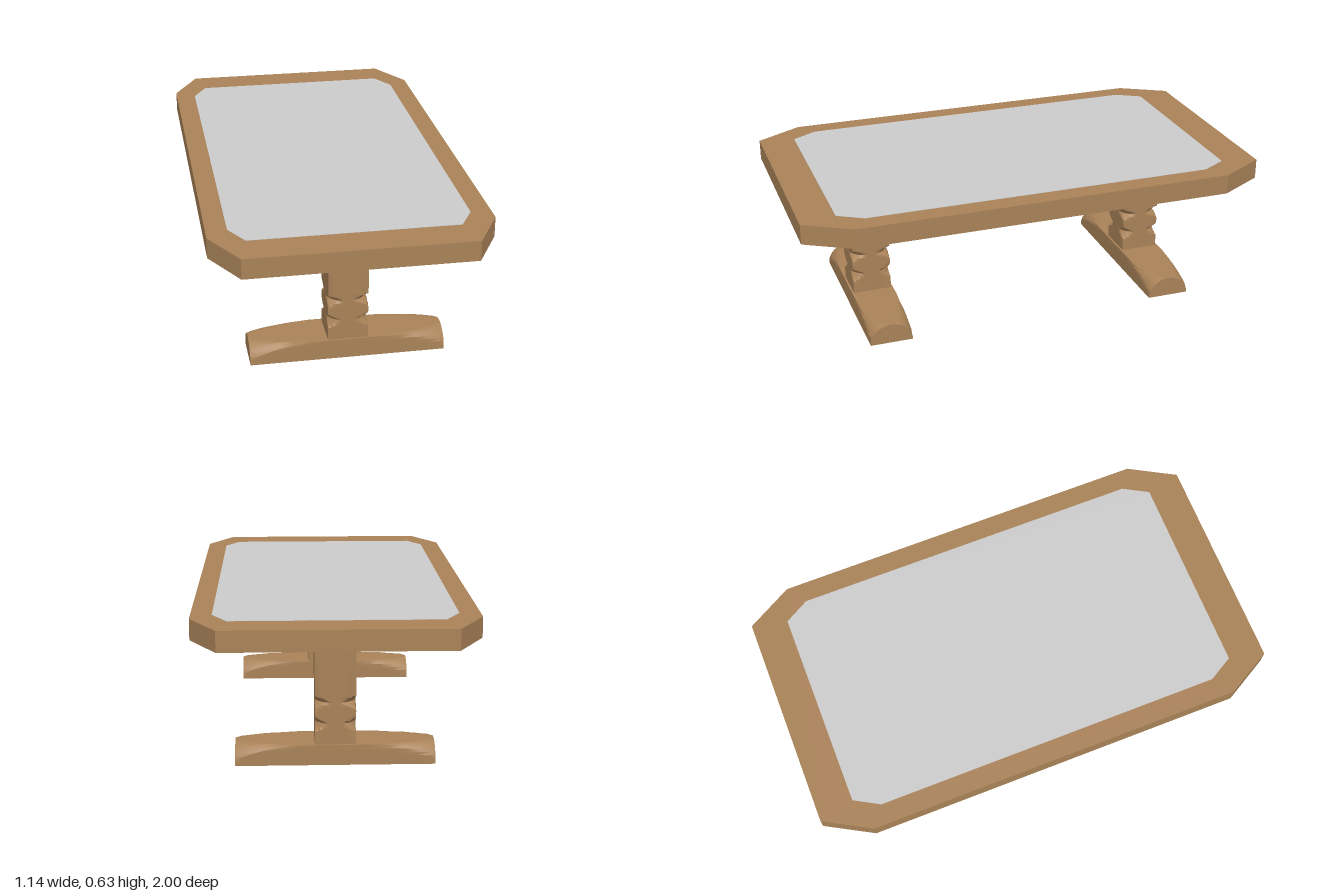
import * as THREE from 'three';
import { toCreasedNormals } from 'three/addons/utils/BufferGeometryUtils.js';

const wood = new THREE.MeshStandardMaterial({ color: 0xa98258 });
const grey = new THREE.MeshStandardMaterial({ color: 0xcccccc });
const CORNER = Math.SQRT2;

// Square bar of half-width 1 with its edges turned down to the profile radius:
// a lathe whose vertices are clamped to the square.
function turnedBar(profile) {
  const geo = new THREE.LatheGeometry(profile.map(([r, y]) => new THREE.Vector2(r, y)), 48);
  const p = geo.attributes.position;
  for (let i = 0; i < p.count; i++) {
    p.setX(i, THREE.MathUtils.clamp(p.getX(i), -1, 1));
    p.setZ(i, THREE.MathUtils.clamp(p.getZ(i), -1, 1));
  }
  return geo;
}

// Rectangle with cut corners: half sizes x, z and where the cuts start cx, cz
function cutRectangle(x, z, cx, cz) {
  return new THREE.Shape([
    [cx, -z], [x, -cz], [x, cz], [cx, z], [-cx, z], [-x, cz], [-x, -cz], [-cx, -z],
  ].map(([a, b]) => new THREE.Vector2(a, b)));
}

function slab(name, shape, bottom, height, material) {
  const geo = new THREE.ExtrudeGeometry(shape, { depth: height, bevelEnabled: false });
  geo.rotateX(-Math.PI / 2).translate(0, bottom, 0);
  const mesh = new THREE.Mesh(geo, material);
  mesh.name = name;
  return mesh;
}

// Post with two grooves around a rounded bead
function postGeometry() {
  const profile = [[0, 0.08], [CORNER, 0.08], [CORNER, 0.14], [1.25, 0.148], [1.13, 0.16], [1.06, 0.172]];
  for (let i = 1; i < 8; i++) {
    const t = i / 8;
    profile.push([1.04 + 0.44 * Math.sin(Math.PI * t), 0.172 + 0.087 * t]);
  }
  profile.push([1.015, 0.259], [1.1, 0.27], [1.23, 0.279], [CORNER, 0.288], [CORNER, 0.55], [0, 0.55]);
  return toCreasedNormals(turnedBar(profile).scale(0.083, 1, 0.083), 0.45);
}

// Foot: flat underneath, upper edges rounded away towards both ends
function footGeometry() {
  const end = [[0, 0.405], [1.005, 0.405], [1.085, 0.383], [1.19, 0.335], [1.28, 0.28], [1.36, 0.22], [CORNER, 0.14]];
  const profile = [...end.map(([r, x]) => [r, -x]), ...end.reverse()];
  const geo = turnedBar(profile).rotateZ(-Math.PI / 2);
  const p = geo.attributes.position;
  for (let i = 0; i < p.count; i++) p.setY(i, Math.max(0, p.getY(i)));
  return toCreasedNormals(geo.scale(1, 0.085, 0.0915), 0.45);
}

export function createModel() {
  const table = new THREE.Group();
  table.name = 'table';

  table.add(slab('tableTop', cutRectangle(0.57, 1, 0.46, 0.805), 0.545, 0.085, wood));
  table.add(slab('inlayPanel', cutRectangle(0.485, 0.85, 0.425, 0.745), 0.62, 0.0115, grey));

  // Two trestles, each a post on a foot
  const post = postGeometry();
  const foot = footGeometry();
  for (const [name, z] of [['front', 0.638], ['back', -0.638]]) {
    const trestle = new THREE.Group();
    trestle.name = name + 'Trestle';
    const postMesh = new THREE.Mesh(post, wood);
    postMesh.name = name + 'Post';
    const footMesh = new THREE.Mesh(foot, wood);
    footMesh.name = name + 'Foot';
    trestle.add(postMesh, footMesh);
    trestle.position.z = z;
    table.add(trestle);
  }
  return table;
}
